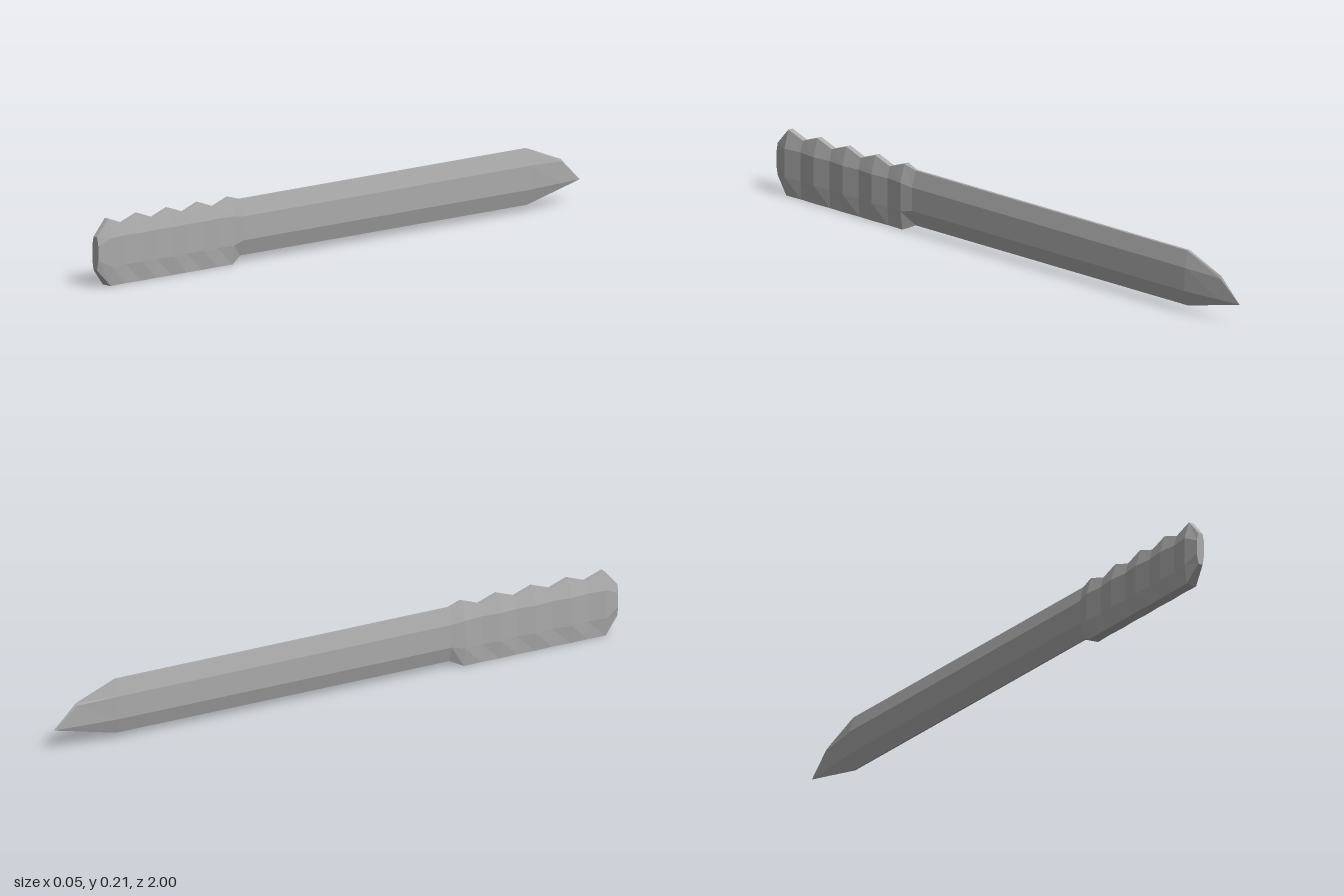
import * as THREE from 'three';

// Eight-sided mirrored ring, counter-clockwise seen from the front.
// ys: bottom, lower shoulder, upper shoulder, top; xs: half widths at those heights.
function ring(z, ys, xs) {
  const right = ys.map((y, i) => [xs[i], y, z]);
  const left = right.map(([x, y]) => [-x, y, z]).reverse();
  return [...right, ...left];
}

// Skin a run of rings ordered from front to back.
function loft(rings, capFront) {
  const pos = [];
  const tri = (a, b, c) => {
    const [p, q, r] = [a, b, c].map((v) => new THREE.Vector3(...v));
    if (q.sub(p).cross(r.sub(p)).length() > 1e-9) pos.push(...a, ...b, ...c);
  };
  for (let i = 0; i < rings.length - 1; i++) {
    const near = rings[i], far = rings[i + 1];
    for (let j = 0; j < 8; j++) {
      const k = (j + 1) % 8;
      tri(near[j], far[j], near[k]);
      tri(near[k], far[j], far[k]);
    }
  }
  if (capFront) for (let j = 1; j < 7; j++) tri(rings[0][0], rings[0][j], rings[0][j + 1]);
  const geo = new THREE.BufferGeometry();
  geo.setAttribute('position', new THREE.Float32BufferAttribute(pos, 3));
  geo.computeVertexNormals();
  return geo;
}

export function createModel() {
  const group = new THREE.Group();
  group.name = 'knife';
  const steel = new THREE.MeshStandardMaterial({ color: 0xaaaaaa });
  steel.name = 'steel grey';
  const add = (name, geo) => {
    const mesh = new THREE.Mesh(geo, steel);
    mesh.name = name;
    group.add(mesh);
  };

  const bladeY = [0.02, 0.07, 0.145, 0.197];
  const bladeX = [0.003, 0.019, 0.019, 0.005];
  const bladeRoot = ring(0.405, bladeY, bladeX);

  // Handle: rounded butt, then alternating grip ridges and grooves
  const handle = [ring(1, [0.053, 0.085, 0.13, 0.158], [0.008, 0.014, 0.014, 0.008])];
  for (let i = 0; i < 9; i++) {
    const z = 0.953 - i * 0.063;
    handle.push(i % 2 === 0
      ? ring(z, [0, 0.06, 0.152, 0.21], [0.018, 0.026, 0.026, 0.009])
      : ring(z, [0, 0.06, 0.152, 0.188], [0.016, 0.019, 0.019, 0.009]));
  }
  handle.push(bladeRoot);
  add('handle', loft(handle, true));

  // Blade: straight bevelled bar narrowing to a dropped point
  add('blade', loft([
    bladeRoot,
    ring(-0.78, bladeY, bladeX),
    ring(-0.92, [0.052, 0.07, 0.138, 0.145], [0.001, 0.007, 0.005, 0.001]),
    ring(-1, [0.07, 0.07, 0.07, 0.07], [0, 0, 0, 0]),
  ], false));

  return group;
}
